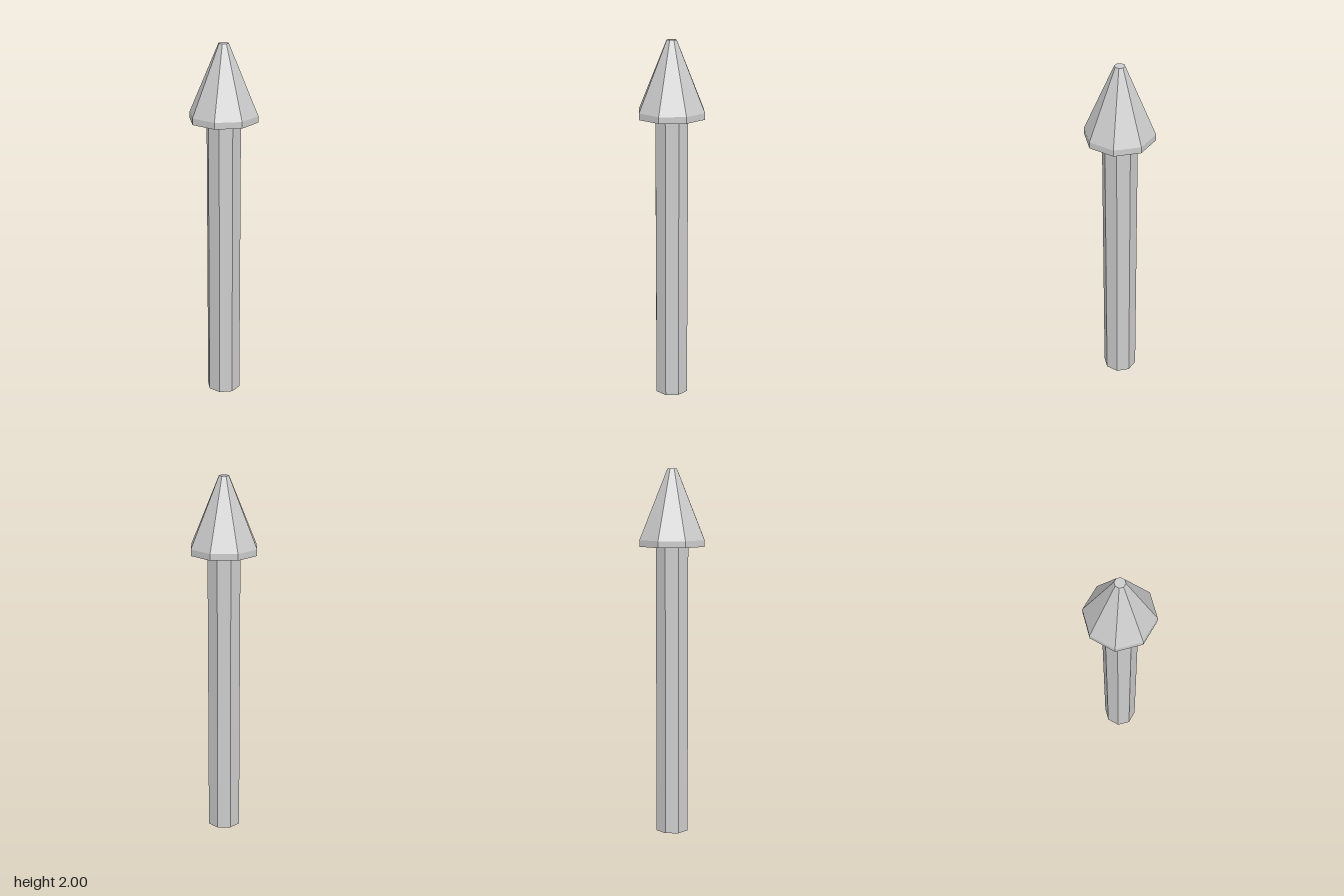
import * as THREE from 'three';

export function createModel() {
  const model = new THREE.Group();
  model.name = 'spikedPost';

  const grey = new THREE.MeshStandardMaterial({ color: 0xcccccc, flatShading: true });
  grey.name = 'light grey';

  // Eight-sided section standing between two heights
  function section(name, bottomRadius, topRadius, bottom, top, open = false) {
    const geometry = new THREE.CylinderGeometry(topRadius, bottomRadius, top - bottom, 8, 1, open);
    geometry.translate(0, (bottom + top) / 2, 0);
    const mesh = new THREE.Mesh(geometry, grey);
    mesh.name = name;
    model.add(mesh);
  }

  // Straight shaft
  section('shaft', 0.094, 0.094, 0, 1.59);

  // Pointed head: one closed profile for underside, rim, slope and blunt tip
  const profile = [[0, 1.59], [0.188, 1.59], [0.188, 1.625], [0.028, 2], [0, 2]];
  const head = new THREE.Mesh(
    new THREE.LatheGeometry(profile.map(([r, y]) => new THREE.Vector2(r, y)), 8),
    grey
  );
  head.name = 'spearHead';
  model.add(head);

  return model;
}
